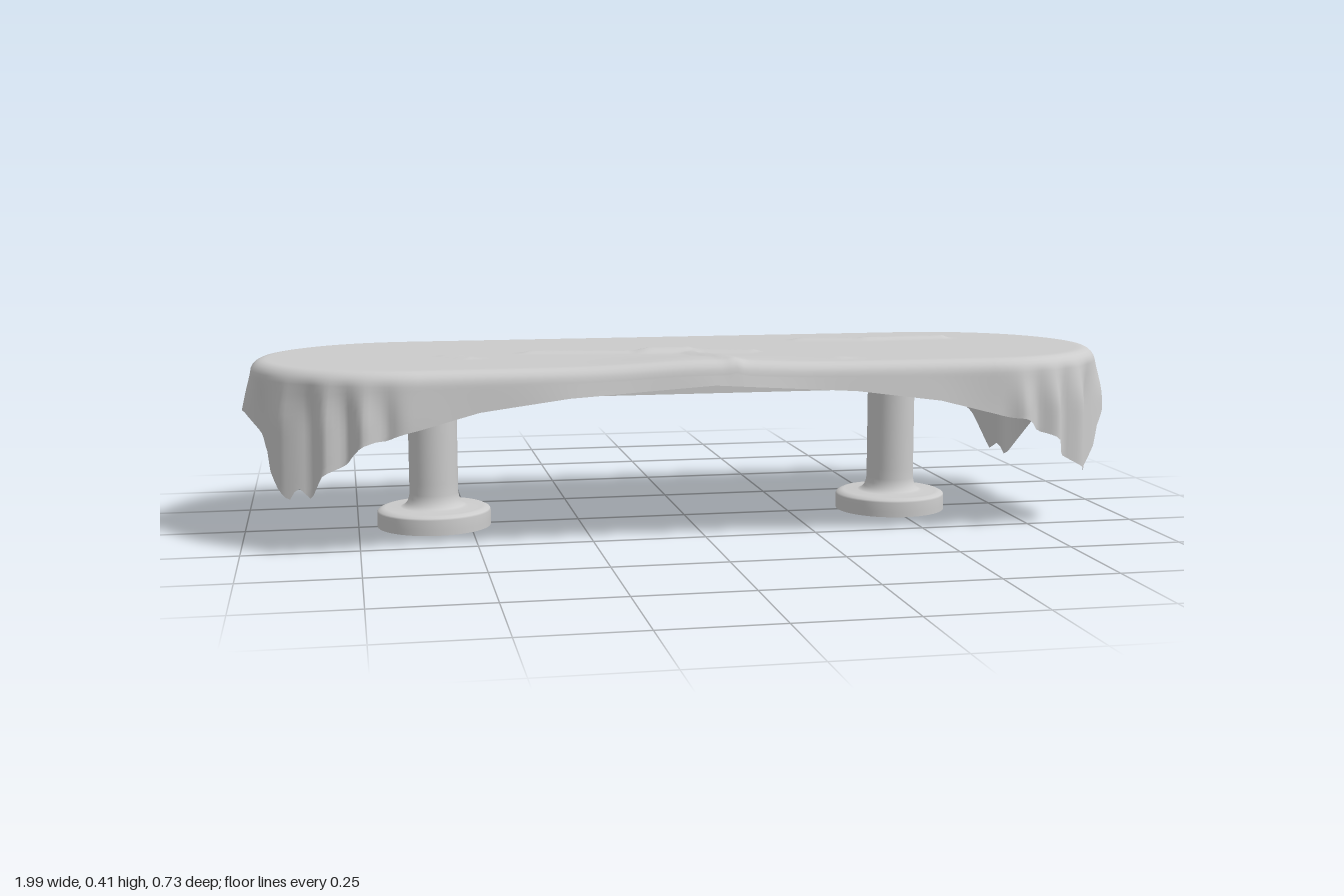
import * as THREE from 'three';

const MAT = new THREE.MeshStandardMaterial({ color: 0xcccccc, side: THREE.DoubleSide });
const HALF = 0.625;   // half length of the straight sides
const R = 0.355;      // radius of the rounded ends
const smooth = (a, b, v) => THREE.MathUtils.smoothstep(v, a, b);

function addMesh(parent, geometry, name) {
  const mesh = new THREE.Mesh(geometry, MAT);
  mesh.name = name;
  parent.add(mesh);
  return mesh;
}

// Piecewise linear lookup in [position, value] keys
function lookup(keys, u) {
  for (let i = 1; i < keys.length; i++) {
    const [a, ya] = keys[i - 1], [b, yb] = keys[i];
    if (u <= b) return ya + (yb - ya) * (u - a) / (b - a);
  }
  return keys[keys.length - 1][1];
}

// Hem height from the end tip (0) round the arc (90) to the middle of the side (180)
const CORNER = [[0, 0.28], [11, 0.277], [20, 0.25], [29, 0.21], [32, 0.168], [43, 0.11],
  [46, 0.145], [50, 0.125], [58, 0.17], [68, 0.22], [76, 0.25]];
const FRONT = [...CORNER, [90, 0.272], [108, 0.305], [135, 0.33], [180, 0.35]];
const BACK = [...CORNER, [90, 0.275], [110, 0.287], [180, 0.285]];
const BACK_LEFT = BACK.map(([u, y]) => [u, u > 40 && u < 52 ? y - 0.033 : y]);

// Wrinkles on the top: [x1, z1, x2, z2, height, width]
const WRINKLES = [
  [-0.36, 0.01, -0.1, 0.055, 0.006, 0.016], [-0.1, 0.055, 0.0, 0.06, 0.012, 0.02],
  [0.0, 0.06, 0.14, 0.11, 0.008, 0.018], [0.14, 0.11, 0.3, 0.26, 0.004, 0.02],
  [-0.01, 0.06, 0.05, 0.34, 0.006, 0.014], [0.32, -0.17, 0.47, -0.135, 0.006, 0.016],
  [0.47, -0.135, 0.67, -0.145, 0.008, 0.016], [-0.55, 0.04, -0.5, 0.1, 0.004, 0.012]];

function topHeight(x, z) {
  let y = 0.389 + 0.008 * z;
  y += 0.011 * Math.exp(-((x + 0.02) ** 2) / 0.03 - ((z - 0.29) ** 2) / 0.014);
  let fold = 0;
  for (const [x1, z1, x2, z2, h, w] of WRINKLES) {
    const dx = x2 - x1, dz = z2 - z1;
    const t = THREE.MathUtils.clamp(((x - x1) * dx + (z - z1) * dz) / (dx * dx + dz * dz), 0, 1);
    const d = Math.hypot(x - x1 - t * dx, z - z1 - t * dz);
    fold = Math.max(fold, h * Math.exp(-((d / w) ** 2)));
  }
  return y + fold;
}

// Stations round the outline: arc centre x, outward normal, position along the hem
function outline() {
  const pts = [], ARC = 112, SIDE = 80;
  for (const end of [1, -1]) {
    for (let i = 0; i < ARC; i++) {
      const a = -Math.PI / 2 + Math.PI * i / ARC;
      pts.push({ cx: end * HALF, nx: end * Math.cos(a), nz: end * Math.sin(a),
        u: Math.abs(a) * 180 / Math.PI, a });
    }
    for (let i = 0; i < SIDE; i++) {
      const x = end * HALF * (1 - 2 * i / SIDE);
      pts.push({ cx: x, nx: 0, nz: end, u: 180 - 90 * Math.abs(x) / HALF, a: 0 });
    }
  }
  return pts;
}

function clothGeometry() {
  const pts = outline(), n = pts.length;
  const TOP = 32, DROP = 16, inner = R - 0.035;
  const pos = [], index = [];
  // Flat top, from the centre line outwards
  for (let j = 0; j <= TOP; j++) {
    const r = inner * j / TOP;
    for (const p of pts) {
      const x = p.cx + p.nx * r, z = p.nz * r;
      pos.push(x, topHeight(x, z), z);
    }
  }
  // Rounded rim, then the hanging skirt with pleats at the ends
  for (let j = 1; j <= DROP; j++) {
    for (const p of pts) {
      const edge = topHeight(p.cx + p.nx * inner, p.nz * inner);
      const keys = p.nz > 0 ? FRONT : p.nx > 0 || p.cx > HALF - 0.01 ? BACK_LEFT : BACK;
      const onArc = p.u < 90 ? smooth(0, 14, 90 - p.u) : 0;
      const phase = p.a * 9 + 0.9 * Math.sin(p.a * 5 + p.cx);
      const pleat = Math.asin(0.97 * Math.sin(2 * phase)) / 1.4;
      const hem = lookup(keys, p.u) + 0.006 * pleat * onArc;
      let r, y;
      if (j <= 5) {
        const a = j / 5 * Math.PI / 2;
        r = inner + 0.032 * Math.sin(a);
        y = edge - 0.03 * (1 - Math.cos(a));
      } else {
        const t = (j - 5) / (DROP - 5);
        y = (edge - 0.03) + (hem - edge + 0.03) * t;
        r = R - 0.003 + 0.006 * t;
      }
      const depth = smooth(0.005, 0.12, edge - y);
      r += depth * (onArc * (0.014 * pleat + 0.004) + (1 - onArc) * 0.003 * Math.sin(p.cx * 17));
      pos.push(p.cx + p.nx * r, y, p.nz * r);
    }
  }
  for (let j = 0; j < TOP + DROP; j++) {
    for (let i = 0; i < n; i++) {
      const k = (i + 1) % n;
      const a = j * n + i, b = j * n + k, c = a + n, d = b + n;
      index.push(a, b, d, a, d, c);
    }
  }
  const g = new THREE.BufferGeometry();
  g.setAttribute('position', new THREE.Float32BufferAttribute(pos, 3));
  g.setIndex(index);
  g.computeVertexNormals();
  return g;
}

function tabletopGeometry() {
  const r = R - 0.025, s = new THREE.Shape();
  s.absarc(HALF, 0, r, -Math.PI / 2, Math.PI / 2);
  s.absarc(-HALF, 0, r, Math.PI / 2, Math.PI * 1.5);
  s.closePath();
  const g = new THREE.ExtrudeGeometry(s, { depth: 0.045, bevelEnabled: false, curveSegments: 40 });
  return g.rotateX(-Math.PI / 2).translate(0, 0.33, 0);
}

// Pedestal: hollow foot with a fillet up into the column
function pedestalGeometry() {
  const profile = [[0.128, 0], [0.128, 0.012], [0.128, 0.034], [0.126, 0.038], [0.118, 0.042],
    [0.11, 0.043], [0.076, 0.044], [0.068, 0.047], [0.061, 0.054], [0.057, 0.064],
    [0.055, 0.075], [0.055, 0.1], [0.055, 0.335]];
  return new THREE.LatheGeometry(profile.map(([x, y]) => new THREE.Vector2(x, y)), 48);
}

export function createModel() {
  const table = new THREE.Group();
  table.name = 'drapedTable';
  addMesh(table, clothGeometry(), 'tablecloth');
  addMesh(table, tabletopGeometry(), 'tabletop');
  const pedestal = pedestalGeometry();
  addMesh(table, pedestal, 'leftPedestal').position.x = 0.5;
  addMesh(table, pedestal, 'rightPedestal').position.x = -0.58;
  return table;
}
